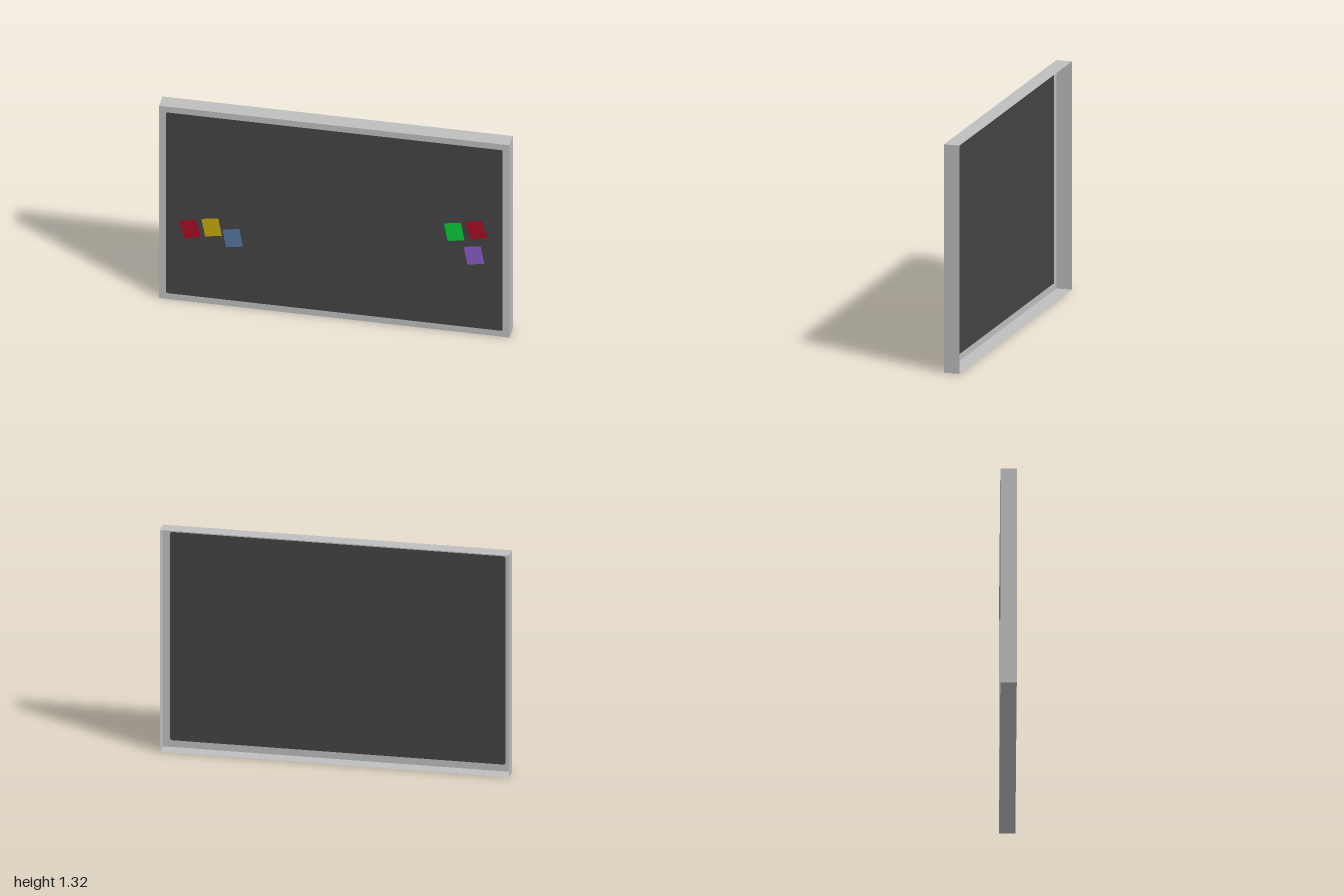
import * as THREE from 'three';

const WIDTH = 2, HEIGHT = 1.32, BORDER = 0.04, FRONT = 0.046, DEPTH = 0.092;

function material(name, color, side = THREE.FrontSide) {
  const m = new THREE.MeshStandardMaterial({ color, side });
  m.name = name;
  return m;
}

// Rounded rectangle, centred on the origin
function roundedRect(target, w, h, r) {
  const x = w / 2, y = h / 2;
  target.moveTo(-x + r, -y);
  target.lineTo(x - r, -y);
  target.quadraticCurveTo(x, -y, x, -y + r);
  target.lineTo(x, y - r);
  target.quadraticCurveTo(x, y, x - r, y);
  target.lineTo(-x + r, y);
  target.quadraticCurveTo(-x, y, -x, y - r);
  target.lineTo(-x, -y + r);
  target.quadraticCurveTo(-x, -y, -x + r, -y);
  return target;
}

export function createModel() {
  const model = new THREE.Group();
  model.name = 'noticeBoard';

  const frameMat = material('frameGrey', 0xbfbfbf, THREE.DoubleSide);
  const boardMat = material('boardCharcoal', 0x444444, THREE.DoubleSide);
  const red = material('noteRed', 0xa50d25);
  const yellow = material('noteYellow', 0xc9a90f);
  const blue = material('noteBlue', 0x5577a5);
  const green = material('noteGreen', 0x0bca3a);
  const purple = material('notePurple', 0x8a5cc8);

  function add(name, geometry, mat, x, y, z) {
    const mesh = new THREE.Mesh(geometry, mat);
    mesh.name = name;
    mesh.position.set(x, y, z);
    model.add(mesh);
    return mesh;
  }

  // Front border with the board set flush in its opening
  const innerW = WIDTH - 2 * BORDER, innerH = HEIGHT - 2 * BORDER;
  const border = roundedRect(new THREE.Shape(), WIDTH, HEIGHT, 0);
  border.holes.push(roundedRect(new THREE.Path(), innerW, innerH, 0.01));
  add('frontBorder', new THREE.ShapeGeometry(border, 4), frameMat, 0, HEIGHT / 2, FRONT);
  const panel = roundedRect(new THREE.Shape(), innerW, innerH, 0.01);
  add('board', new THREE.ShapeGeometry(panel, 4), boardMat, 0, HEIGHT / 2, FRONT);

  // Thin walls around an open back
  for (const s of [-1, 1]) {
    const side = add(s > 0 ? 'leftWall' : 'rightWall', new THREE.PlaneGeometry(DEPTH, HEIGHT),
      frameMat, s * WIDTH / 2, HEIGHT / 2, 0);
    side.rotation.y = s * Math.PI / 2;
    const level = add(s > 0 ? 'topWall' : 'bottomWall', new THREE.PlaneGeometry(WIDTH, DEPTH),
      frameMat, 0, s > 0 ? HEIGHT : 0, 0);
    level.rotation.x = -s * Math.PI / 2;
  }

  // Tilted sticky notes: name, material, x, y, tilt in degrees
  const notes = [
    ['redNoteRight', red, -0.824, 0.5, 16],
    ['yellowNote', yellow, -0.7, 0.527, 10],
    ['blueNote', blue, -0.58, 0.47, 10],
    ['greenNote', green, 0.684, 0.684, 10],
    ['redNoteLeft', red, 0.81, 0.714, 16],
    ['purpleNote', purple, 0.797, 0.538, 10],
  ];
  const noteGeometry = new THREE.PlaneGeometry(0.098, 0.12);
  for (const [name, mat, x, y, tilt] of notes) {
    add(name, noteGeometry, mat, x, y, FRONT + 0.002).rotation.z = THREE.MathUtils.degToRad(tilt);
  }

  return model;
}
